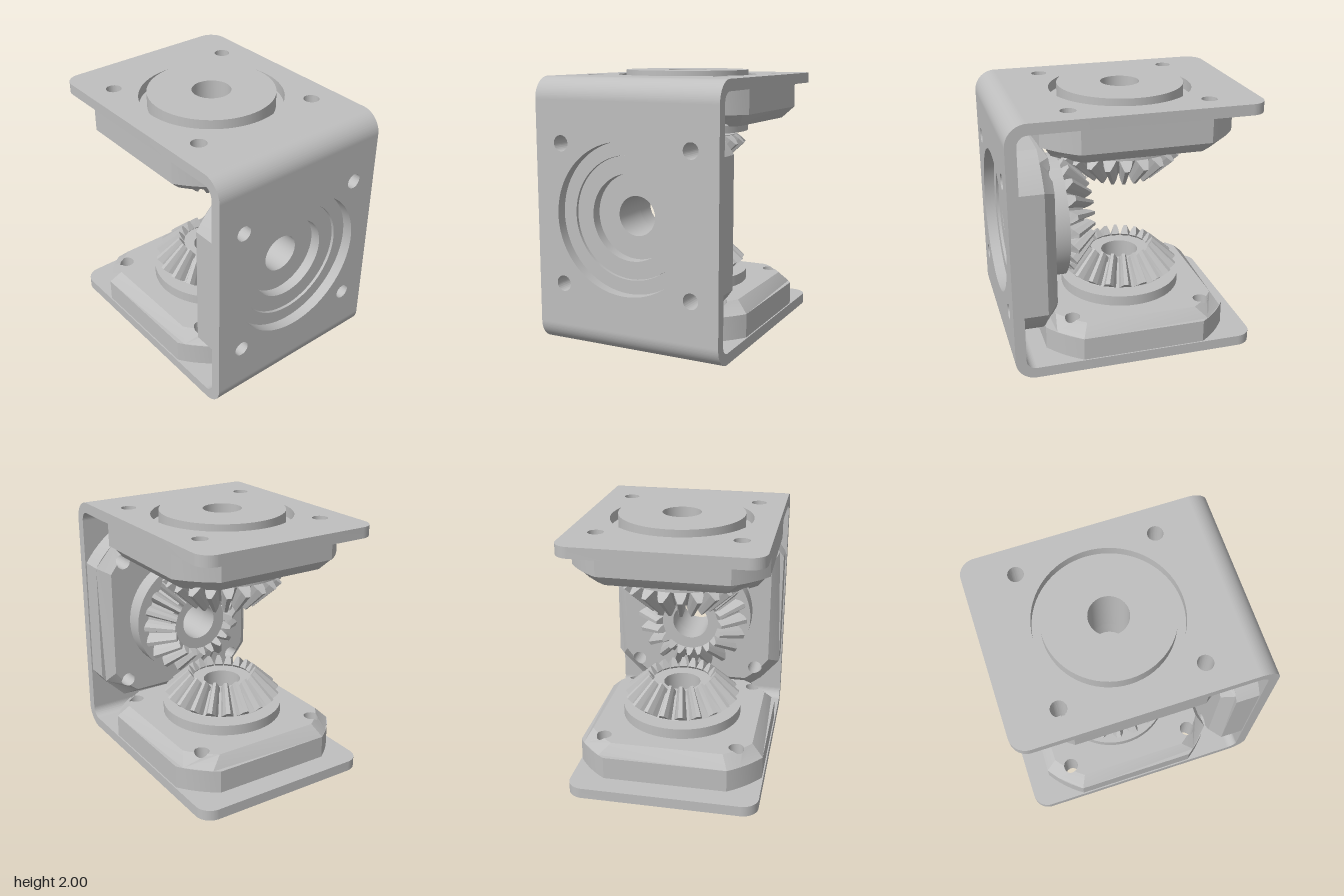
import * as THREE from 'three';
import { mergeGeometries, toCreasedNormals } from 'three/addons/utils/BufferGeometryUtils.js';

const steel = new THREE.MeshStandardMaterial({ color: 0xbfbfbf, side: THREE.DoubleSide });
steel.name = 'steel grey';

const BORE = 0.143, BOLT = 0.505, BOLT_R = 0.057, AXIS_X = -0.055;
const BOLT_D = BOLT * Math.SQRT2;

function add(group, name, geometry) {
  const mesh = new THREE.Mesh(geometry, steel);
  mesh.name = name;
  group.add(mesh);
  return mesh;
}

function circle(x, y, r) {
  return new THREE.Path().absarc(x, y, r, 0, Math.PI * 2, true);
}

function boltHoles(x = 0, y = 0) {
  return [-1, 1].flatMap(i => [-1, 1].map(j => circle(x + i * BOLT, y + j * BOLT, BOLT_R)));
}

function extrude(shape, depth) {
  const g = new THREE.ExtrudeGeometry(shape, { depth, bevelEnabled: false, curveSegments: 40 });
  return toCreasedNormals(g, 0.5);
}

// Closed ring profile turned around the y axis
function lathe(profile) {
  const pts = [...profile, profile[0]].map(p => new THREE.Vector2(...p));
  return toCreasedNormals(new THREE.LatheGeometry(pts, 64), 0.4);
}

// Square clipped by a circle; notch +1 / -1 follows the far / near side of the bolt holes
function outline(h, r, notch = 0) {
  const pts = [], a0 = Math.acos(h / r), mid = Math.PI / 4;
  const d = Math.acos((r * r + BOLT_D ** 2 - BOLT_R ** 2) / (2 * r * BOLT_D));
  for (let q = 0; q < 4; q++) {
    const turn = q * Math.PI / 2;
    const polar = (rad, a) => pts.push(new THREE.Vector2(rad * Math.cos(a + turn), rad * Math.sin(a + turn)));
    if (!notch) {
      for (let i = 0; i <= 6; i++) polar(r, a0 + (Math.PI / 2 - 2 * a0) * i / 6);
      continue;
    }
    const beta = Math.acos((r * Math.cos(d) - BOLT_D) / BOLT_R);
    const end = notch > 0 ? beta : beta - 2 * Math.PI;
    for (let i = 0; i <= 2; i++) polar(r, a0 + (mid - d - a0) * i / 2);
    for (let i = 1; i < 12; i++) {
      const b = -beta + (end + beta) * i / 12;
      const u = BOLT_D + BOLT_R * Math.cos(b), v = BOLT_R * Math.sin(b);
      polar(Math.hypot(u, v), mid + Math.atan2(v, u));
    }
    for (let i = 0; i <= 2; i++) polar(r, mid + d + (mid - d - a0) * i / 2);
  }
  return pts;
}

// Height of the housing's chamfered face at a point
function faceHeight(x, z) {
  const flat = (Math.max(Math.abs(x), Math.abs(z)) - 0.615) / 0.085;
  const corner = (Math.hypot(x, z) - 0.745) / 0.095;
  return 0.375 - 0.085 * THREE.MathUtils.clamp(Math.max(flat, corner), 0, 1);
}

function drape(geometry, above = -Infinity) {
  const p = geometry.attributes.position;
  for (let i = 0; i < p.count; i++) {
    if (p.getY(i) > above) p.setY(i, faceHeight(p.getX(i), p.getZ(i)));
  }
  const g = geometry.toNonIndexed();
  g.computeVertexNormals();
  return toCreasedNormals(g, 0.3);
}

// Bearing housing: straight block, chamfer band, front face and bolt hole walls
function housing() {
  const group = new THREE.Group();
  group.name = 'bearingHousing';
  const block = new THREE.Shape(outline(0.70, 0.84));
  block.holes.push(circle(0, 0, 0.44), ...boltHoles());
  add(group, 'housingBlock', extrude(block, 0.175).rotateX(-Math.PI / 2).translate(0, 0.115, 0));

  const band = new THREE.Shape(outline(0.70, 0.84));
  band.holes.push(new THREE.Path(outline(0.615, 0.745, 1)));
  add(group, 'housingChamfer', drape(new THREE.ShapeGeometry(band).rotateX(-Math.PI / 2)));

  const face = new THREE.Shape(outline(0.615, 0.745, -1));
  face.holes.push(circle(0, 0, 0.44));
  add(group, 'housingFace', new THREE.ShapeGeometry(face, 40).rotateX(-Math.PI / 2).translate(0, 0.375, 0));

  for (const i of [-1, 1]) for (const j of [-1, 1]) {
    const wall = new THREE.CylinderGeometry(BOLT_R, BOLT_R, 0.1, 32, 1, true);
    add(group, 'boltHoleWall', drape(wall.translate(i * BOLT, 0.34, j * BOLT), 0.3));
  }
  return group;
}

// One tapered tooth lofted between its outer and inner cross-sections
function tooth() {
  const ends = [
    { root: [0.38, 0], tip: [0.45, 0.065], scale: 1 },
    { root: [0.228, 0.18], tip: [0.265, 0.235], scale: 0.62 },
  ];
  const section = [[0.05, -0.15], [0.037, 0.5], [0.017, 1], [-0.017, 1], [-0.037, 0.5], [-0.05, -0.15]];
  const pos = [], idx = [];
  for (const { root, tip, scale } of ends) {
    for (const [w, t] of section) {
      const r = root[0] + (tip[0] - root[0]) * t;
      const y = Math.max(0, root[1] + (tip[1] - root[1]) * t);
      pos.push(w * scale, y, r);
    }
  }
  for (let i = 0; i < 6; i++) {
    const j = (i + 1) % 6;
    idx.push(i, i + 6, j + 6, i, j + 6, j);
    if (i > 0 && i < 5) idx.push(0, i, i + 1, 6, i + 7, i + 6);
  }
  const g = new THREE.BufferGeometry();
  g.setAttribute('position', new THREE.Float32BufferAttribute(pos, 3));
  g.setIndex(idx);
  const flat = g.toNonIndexed();
  flat.computeVertexNormals();
  return flat;
}

function bevelGear(phase) {
  const group = new THREE.Group();
  group.name = 'bevelGear';
  add(group, 'gearBody', lathe([[BORE, 0], [0.38, 0], [0.257, 0.15], [BORE, 0.15]]));
  const teeth = [];
  for (let i = 0; i < 20; i++) teeth.push(tooth().rotateY((i + phase) * Math.PI / 10));
  add(group, 'gearTeeth', mergeGeometries(teeth));
  return group;
}

// Housing, collar and gear stacked along y
function gearUnit(name, collarProfile, gearY, phase) {
  const group = new THREE.Group();
  group.name = name;
  group.add(housing());
  add(group, 'bearingCollar', lathe(collarProfile));
  const gear = bevelGear(phase);
  gear.position.y = gearY;
  group.add(gear);
  return group;
}

function bracket() {
  const group = new THREE.Group();
  group.name = 'bracket';
  const Z = 0.71, L = -0.925, R = 0.765, c = 0.12;

  // Upper and lower plates with rounded free corners
  const plate = new THREE.Shape();
  plate.moveTo(R, -Z).lineTo(R, Z).lineTo(L + c, Z);
  plate.absarc(L + c, Z - c, c, Math.PI / 2, Math.PI, false);
  plate.absarc(L + c, -Z + c, c, Math.PI, Math.PI * 1.5, false);
  plate.closePath();
  plate.holes.push(circle(AXIS_X, 0, 0.525), ...boltHoles(AXIS_X, 0));
  for (const y of [0.035, 1.885]) {
    add(group, 'plate', extrude(plate, 0.08).rotateX(-Math.PI / 2).translate(0, y, 0));
  }

  // Side wall
  const wall = new THREE.Shape();
  wall.moveTo(-Z, 0.19).lineTo(Z, 0.19).lineTo(Z, 1.81).lineTo(-Z, 1.81).closePath();
  wall.holes.push(circle(0, 1, 0.54), ...boltHoles(0, 1));
  add(group, 'sideWall', extrude(wall, 0.08).rotateY(Math.PI / 2).translate(0.84, 0, 0));

  // Bends joining the wall to the plates
  for (const [y, a] of [[0.19, -Math.PI / 2], [1.81, 0]]) {
    const bend = new THREE.Shape();
    bend.absarc(R, y, 0.155, a, a + Math.PI / 2, false);
    bend.absarc(R, y, 0.075, a + Math.PI / 2, a, true);
    bend.closePath();
    add(group, 'bend', extrude(bend, 2 * Z).translate(0, 0, -Z));
  }
  return group;
}

export function createModel() {
  const model = new THREE.Group();
  model.name = 'bevelGearBracket';
  model.add(bracket());

  const collar = [[BORE, 0], [0.465, 0], [0.465, 0.455], [0.31, 0.455], [0.31, 0.48], [BORE, 0.48]];
  const lower = gearUnit('lowerGearUnit', collar, 0.48, 0.5);
  lower.position.x = AXIS_X;
  const upper = gearUnit('upperGearUnit', collar, 0.48, 0.5);
  upper.position.set(AXIS_X, 2, 0);
  upper.rotation.x = Math.PI;

  // Side unit has a recessed, counterbored collar
  const sideCollar = [[BORE, 0.215], [0.31, 0.215], [0.31, 0.135], [0.438, 0.135],
    [0.438, 0.375], [0.468, 0.375], [0.468, 0.515], [BORE, 0.515]];
  const side = gearUnit('sideGearUnit', sideCollar, 0.515, 0);
  side.position.set(0.955, 1, 0);
  side.rotation.z = Math.PI / 2;

  model.add(lower, upper, side);
  return model;
}
